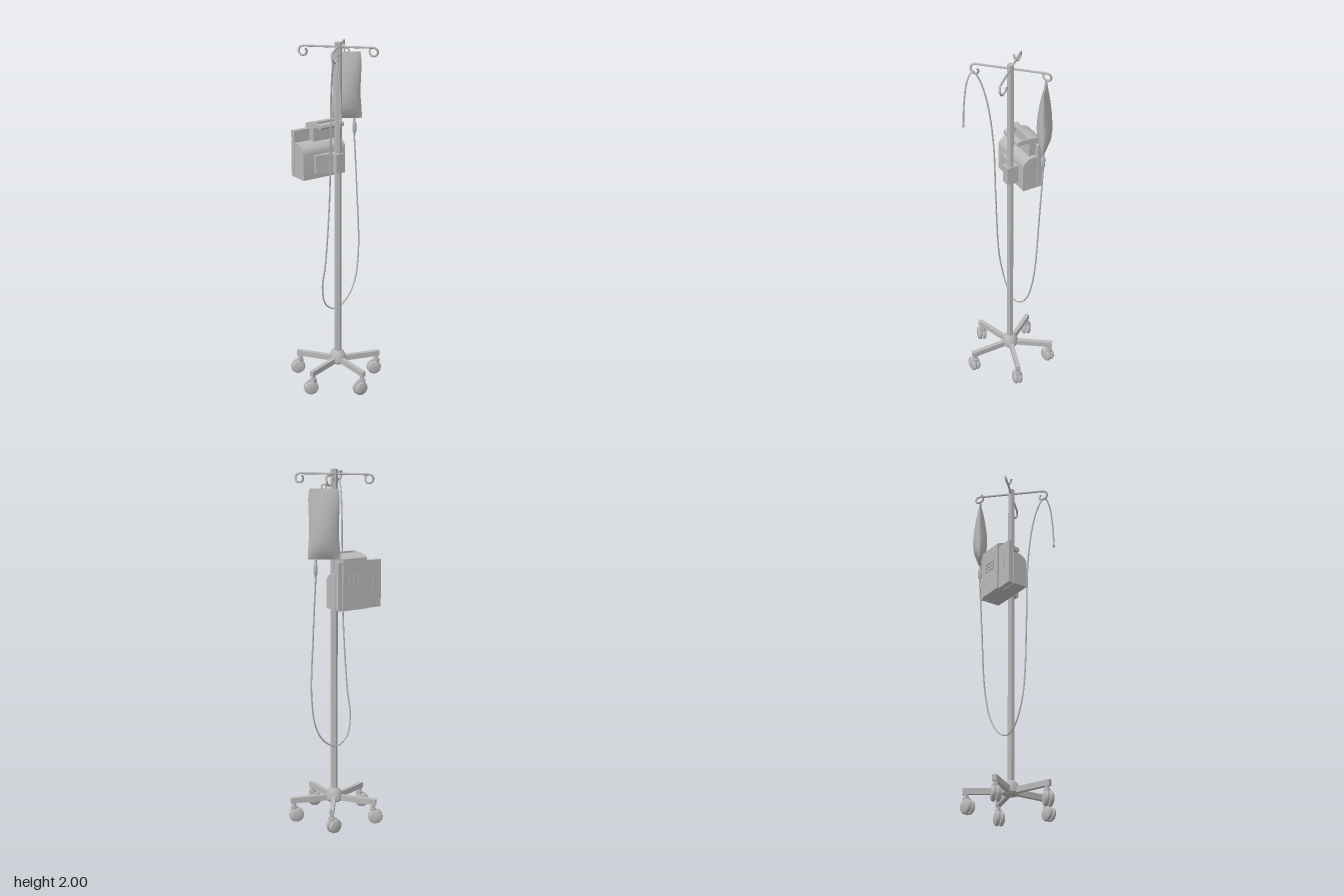
import * as THREE from 'three';
import { toCreasedNormals } from 'three/addons/utils/BufferGeometryUtils.js';

const V = (x, y, z) => new THREE.Vector3(x, y, z);
const PX = 0.0125, PZ = -0.013; // pole axis

export function createModel() {
  const model = new THREE.Group();
  const grey = new THREE.MeshStandardMaterial({ color: 0xb8b8b8 });
  grey.name = 'plain grey';

  const add = (name, geo, parent = model, crease = 0.6) => {
    const mesh = new THREE.Mesh(toCreasedNormals(geo, crease), grey);
    mesh.name = name;
    parent.add(mesh);
    return mesh;
  };
  // box given by its min and max corners
  const box = (name, x0, x1, y0, y1, z0, z1, parent) =>
    add(name, new THREE.BoxGeometry(x1 - x0, y1 - y0, z1 - z0)
      .translate((x0 + x1) / 2, (y0 + y1) / 2, (z0 + z1) / 2), parent);
  const tube = (name, pts, r, segs, sides, parent) =>
    add(name, new THREE.TubeGeometry(new THREE.CatmullRomCurve3(pts), segs, r, sides), parent, 1.1);
  const lathe = (pts, sides) =>
    new THREE.LatheGeometry(pts.map(p => new THREE.Vector2(...p)), sides);
  // (z, y) profile extruded along x
  const sideExtrude = (name, pts, x0, x1, parent) => {
    const shape = new THREE.Shape(pts.map(([z, y]) => new THREE.Vector2(-z, y)));
    const geo = new THREE.ExtrudeGeometry(shape, { depth: x1 - x0, bevelEnabled: false });
    return add(name, geo.rotateY(Math.PI / 2).translate(x0, 0, 0), parent);
  };

  // Pole and hub
  const stand = new THREE.Group();
  stand.name = 'stand';
  stand.position.set(PX, 0, PZ);
  model.add(stand);
  add('pole', new THREE.CylinderGeometry(0.02, 0.02, 1.86, 6).translate(0, 1.07, 0), stand);
  add('hub', lathe([[0, 0.108], [0.04, 0.108], [0.047, 0.118], [0.047, 0.145],
    [0.036, 0.172], [0.024, 0.185], [0, 0.185]], 16), stand);

  // Five legs, each with a swivelled twin-wheel caster
  const swivels = [0, 18, -7, 28, 22];
  const wheelProfile = [[0, 0], [0.038, 0], [0.042, 0.008], [0.037, 0.019], [0.022, 0.025], [0, 0.025]];
  swivels.forEach((deg, i) => {
    const a = i * Math.PI * 2 / 5;
    const leg = box('leg', -0.012, 0.012, 0.113, 0.145, 0.02, 0.255, stand);
    leg.rotation.y = a;
    const caster = new THREE.Group();
    caster.name = 'caster';
    caster.position.set(Math.sin(a) * 0.237, 0, Math.cos(a) * 0.237);
    caster.rotation.y = -deg * Math.PI / 180;
    stand.add(caster);
    add('casterStem', new THREE.CylinderGeometry(0.012, 0.012, 0.05, 8).translate(0, 0.092, 0), caster);
    add('casterCollar', new THREE.CylinderGeometry(0.02, 0.02, 0.018, 6).translate(0, 0.085, 0), caster);
    box('casterBracket', -0.03, 0.012, 0.035, 0.085, -0.007, 0.007, caster);
    for (const s of [1, -1]) {
      const wheel = add('wheel', lathe(wheelProfile, 20).rotateX(s * Math.PI / 2), caster);
      wheel.position.set(-0.014, 0.042, s * 0.003);
    }
  });

  // Four hanging arms ending in twisted open loops
  for (let i = 0; i < 4; i++) {
    const arm = new THREE.Group();
    arm.name = 'hookArm';
    arm.rotation.y = Math.PI / 4 + i * Math.PI / 2;
    stand.add(arm);
    const pts = [V(0, 1.975, 0), V(0.06, 1.975, 0), V(0.12, 1.975, 0), V(0.17, 1.975, 0)];
    for (let k = 0; k <= 10; k++) {
      const t = Math.PI / 2 - k * 0.55;
      pts.push(V(0.19 + 0.024 * Math.cos(t), 1.951 + 0.024 * Math.sin(t), -0.032 * (k / 10) ** 1.5));
    }
    tube('hook', pts, 0.006, 60, 8, arm);
  }

  // Pump
  const pump = new THREE.Group();
  pump.name = 'pump';
  model.add(pump);
  const front = [[-0.136, 1.25], [-0.05, 1.25], [-0.05, 1.395]];
  for (let k = 1; k <= 6; k++) {
    const t = k / 6 * Math.PI / 2;
    front.push([-0.11 + 0.06 * Math.cos(t), 1.395 + 0.052 * Math.sin(t)]);
  }
  front.push([-0.136, 1.447]);
  sideExtrude('pumpFrontBody', front, -0.192, 0.087, pump);
  box('pumpSeam', -0.187, 0.082, 1.255, 1.44, -0.142, -0.134, pump);
  box('pumpBackPanel', -0.192, 0.087, 1.25, 1.513, -0.17, -0.14, pump);
  box('panelSlot', -0.15, -0.135, 1.36, 1.43, -0.174, -0.169, pump);
  // central block with arched roof
  sideExtrude('pumpCore', [[-0.18, 1.25], [-0.1, 1.25], [-0.1, 1.553], [-0.125, 1.552],
    [-0.155, 1.545], [-0.18, 1.533]], -0.092, 0.063, pump);
  // carrying handle: two side bars and a front grip
  const handle = new THREE.Group();
  handle.name = 'handle';
  pump.add(handle);
  sideExtrude('handleGrip', [[-0.056, 1.531], [-0.032, 1.526], [-0.027, 1.537],
    [-0.031, 1.55], [-0.056, 1.555]], -0.092, 0.063, handle);
  for (const x of [-0.092, 0.054])
    sideExtrude('handleArm', [[-0.101, 1.525], [-0.055, 1.531], [-0.055, 1.555], [-0.101, 1.553]], x, x + 0.009, handle);
  // ventilation ribs on the back
  for (let r = 0; r < 3; r++) for (let c = 0; c < 3; c++) {
    const x = -0.056 + c * 0.03, y = 1.392 + r * 0.022;
    box('vent', x, x + 0.024, y, y + 0.012, -0.185, -0.179, pump);
  }
  // clamp: wedge bracket reaching forward around the pole
  const clamp = new THREE.Shape([[-0.122, 0.052], [-0.122, 0.034], [-0.02, 0.018], [-0.02, -0.016],
    [0.034, -0.016], [0.034, 0.052]].map(p => new THREE.Vector2(...p)));
  add('poleClamp', new THREE.ExtrudeGeometry(clamp, { depth: 0.105, bevelEnabled: false })
    .rotateX(-Math.PI / 2).translate(0, 1.28, 0), pump);

  // Fluid bag: lens-shaped cross-sections, [height, half width, half thickness]
  const rings = [[1.535, 0.086, 0.003], [1.56, 0.087, 0.02], [1.6, 0.084, 0.036], [1.66, 0.079, 0.042],
    [1.73, 0.079, 0.038], [1.8, 0.082, 0.029], [1.86, 0.083, 0.017], [1.9, 0.079, 0.006], [1.912, 0.076, 0.003]];
  const n = 20, pos = [], idx = [];
  for (const [y, w, t] of rings) for (let k = 0; k < n; k++) {
    const a = k / n * Math.PI * 2, s = Math.sin(a);
    pos.push(w * Math.cos(a), y, t * Math.sign(s) * Math.abs(s) ** 1.4);
  }
  for (let j = 0; j < rings.length - 1; j++) for (let k = 0; k < n; k++) {
    const a = j * n + k, b = j * n + (k + 1) % n;
    idx.push(a, a + n, b, b, a + n, b + n);
  }
  const last = (rings.length - 1) * n;
  for (let k = 1; k < n - 1; k++) idx.push(0, k, k + 1, last, last + k + 1, last + k);
  const bagGeo = new THREE.BufferGeometry();
  bagGeo.setAttribute('position', new THREE.Float32BufferAttribute(pos, 3));
  bagGeo.setIndex(idx);
  const bag = new THREE.Group();
  bag.name = 'bag';
  bag.position.set(0.157, 0, -0.136);
  bag.rotation.y = -0.62;
  model.add(bag);
  add('bagBody', bagGeo, bag, 0.9);
  add('bagLoop', new THREE.TorusGeometry(0.013, 0.004, 6, 16).translate(0, 1.921, 0), bag);
  // outlet port and drip chamber
  add('dripChamber', lathe([[0, 1.43], [0.005, 1.43], [0.006, 1.447], [0.011, 1.46], [0.011, 1.505],
    [0.007, 1.512], [0.007, 1.54], [0, 1.54]], 12).translate(0.045, 0, 0), bag);

  // Line hanging from the bag, round the bottom and over the left hook
  tube('line', [[0.194, 1.435, -0.111], [0.198, 1.13, -0.09], [0.195, 0.757, -0.066], [0.156, 0.57, -0.051],
    [0.087, 0.475, -0.042], [0.008, 0.442, -0.037], [-0.06, 0.485, -0.034], [-0.093, 0.6, -0.018],
    [-0.089, 0.757, 0.007], [-0.077, 1.127, 0.03], [-0.077, 1.5, 0.043], [-0.093, 1.76, 0.072],
    [-0.108, 1.89, 0.108], [-0.114, 1.942, 0.142], [-0.118, 1.89, 0.172], [-0.119, 1.77, 0.192],
    [-0.12, 1.64, 0.199]].map(p => V(...p)), 0.0045, 140, 8, model);
  add('lineConnector', lathe([[0, 1.622], [0.007, 1.622], [0.007, 1.638], [0.005, 1.642], [0.005, 1.665], [0, 1.665]], 10)
    .translate(-0.12, 0, 0.199));
  return model;
}
